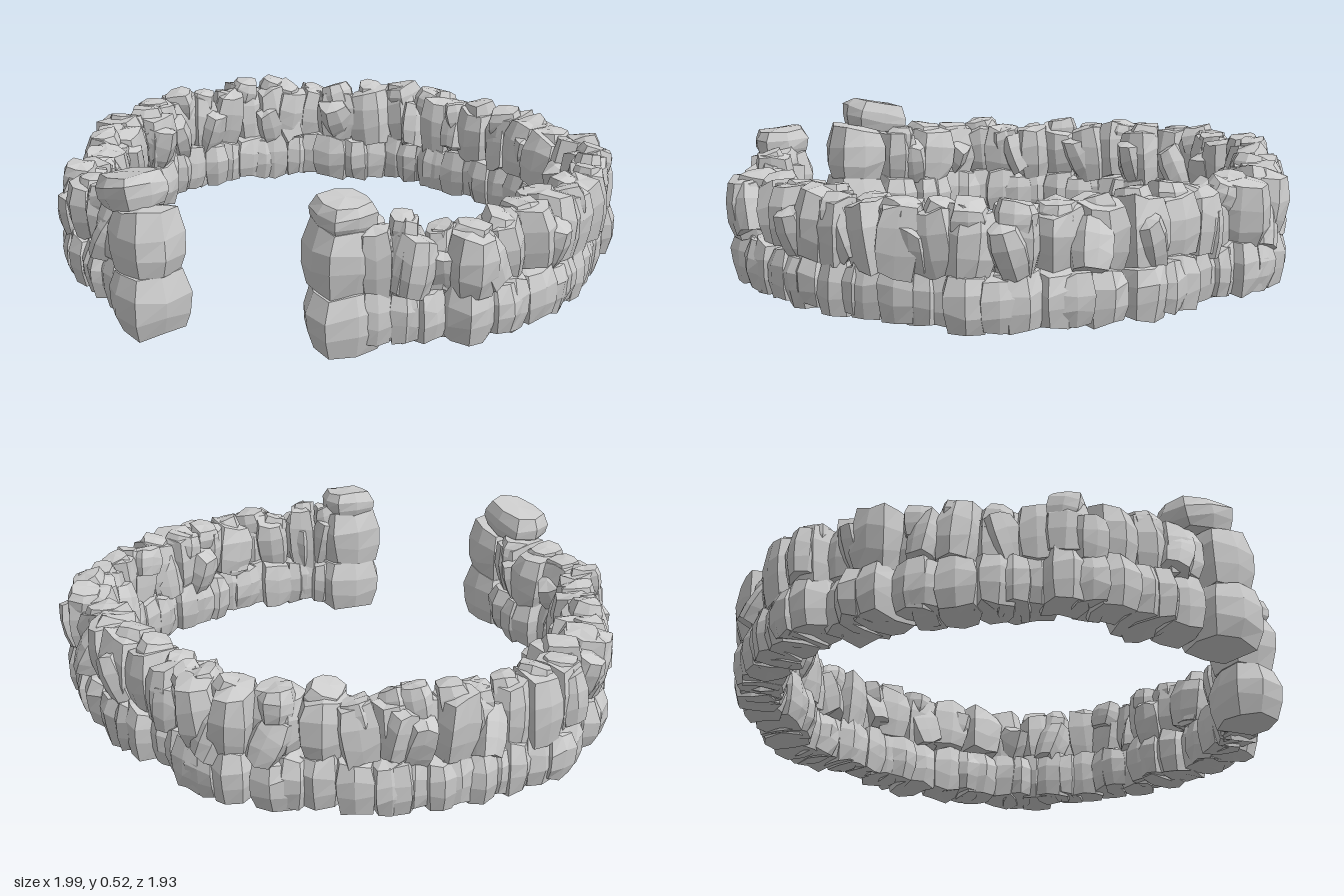
import * as THREE from 'three';

const stone = new THREE.MeshStandardMaterial({ color: 0xcccccc, flatShading: true });

// seeded jitter in the range -1..1
let seed = 7;
function jitter(amount = 1) {
  seed = (seed * 16807) % 2147483647;
  return ((seed / 2147483647) * 2 - 1) * amount;
}

// faceted block: eight-sided column with a bulging belly and uneven corners
function rock(name, w, h, d, rough = 0.1) {
  const sides = 8, levels = 3;
  const geo = new THREE.CylinderGeometry(1, 1, 1, sides, levels);
  const taper = [0.85, 1.02, 1.04, 0.84];
  const corners = [];
  const column = Array.from({ length: sides }, () => 1 + jitter(rough));
  const slope = jitter(0.08);
  for (let l = 0; l <= levels; l++) {
    for (let s = 0; s < sides; s++) {
      const tip = l === levels ? slope * Math.cos((s / sides) * Math.PI * 2) : 0;
      corners.push([column[s] * (1 + jitter(0.035)), tip + jitter(0.06)]);
    }
  }
  const p = geo.attributes.position;
  for (let i = 0; i < p.count; i++) {
    const x = p.getX(i), y = p.getY(i), z = p.getZ(i);
    const level = Math.round((y + 0.5) * levels);
    if (Math.hypot(x, z) < 0.01) {
      // raised crown, slightly hollow underside
      p.setXYZ(i, 0, y * h * (y > 0 ? 1.12 : 0.9), 0);
      continue;
    }
    const a = Math.atan2(z, x);
    const side = (Math.round((a / (Math.PI * 2)) * sides) + sides) % sides;
    const [spread, lift] = corners[level * sides + side];
    // push the diagonal corners out for a squarer plan
    const square = 1 / Math.pow(Math.max(Math.abs(Math.cos(a)), Math.abs(Math.sin(a))), 0.45);
    const r = taper[level] * spread * square / 2;
    p.setXYZ(i, Math.cos(a) * r * w, (y + lift) * h, Math.sin(a) * r * d);
  }
  const flat = geo.toNonIndexed();
  flat.computeVertexNormals();
  const mesh = new THREE.Mesh(flat, stone);
  mesh.name = name;
  return mesh;
}

function put(group, mesh, x, y, z, lean = 0, twist = 0.25) {
  mesh.position.set(x, y, z);
  mesh.rotation.set(jitter(lean), jitter(twist), jitter(lean));
  group.add(mesh);
}

// wall sections along the ring: x, z, length along wall, thickness, top height
const sections = [
  [0.67, 0.45, 0.19, 0.15, 0.44], [0.75, 0.36, 0.22, 0.16, 0.40],
  [0.86, 0.21, 0.28, 0.19, 0.41], [0.86, -0.04, 0.25, 0.22, 0.43],
  [0.85, -0.25, 0.24, 0.16, 0.41], [0.77, -0.46, 0.25, 0.16, 0.42],
  [0.66, -0.64, 0.27, 0.20, 0.42], [0.43, -0.76, 0.27, 0.21, 0.42],
  [0.17, -0.83, 0.27, 0.19, 0.42], [-0.05, -0.83, 0.21, 0.17, 0.41],
  [-0.24, -0.85, 0.25, 0.20, 0.43], [-0.46, -0.72, 0.28, 0.20, 0.42],
  [-0.65, -0.60, 0.23, 0.16, 0.41], [-0.75, -0.46, 0.22, 0.17, 0.43],
  [-0.83, -0.28, 0.22, 0.17, 0.42], [-0.87, -0.08, 0.25, 0.20, 0.42],
  [-0.80, 0.14, 0.25, 0.22, 0.42], [-0.70, 0.35, 0.25, 0.18, 0.41],
  [-0.55, 0.53, 0.25, 0.16, 0.40], [-0.42, 0.70, 0.27, 0.18, 0.41],
  [-0.18, 0.76, 0.26, 0.22, 0.41],
];

function wallSection([x, z, length, depth, top]) {
  const g = new THREE.Group();
  g.name = 'wallSection';
  g.position.set(x, 0, z);
  g.rotation.y = Math.atan2(x, z);
  // lower course: upright stones, with a thicker one binding the pair
  for (const s of [-1, 1]) {
    put(g, rock('lowerStone', length * 0.56, 0.165, depth * 0.95),
      s * length * 0.26, 0.122 + jitter(0.006), jitter(0.014), 0.04);
  }
  put(g, rock('lowerBinder', length * 0.46, 0.155, depth * 1.06),
    jitter(0.03), 0.118, jitter(0.01), 0.05);
  // upper course: loosely leaning stones
  const tall = top - 0.19;
  for (const s of [-1, 1]) {
    put(g, rock('upperStone', length * 0.55, tall * (0.88 + jitter(0.08)), depth * 0.86, 0.13),
      s * length * 0.25, 0.185 + tall * 0.46, jitter(0.025), 0.17, 0.4);
  }
  // tumbled stones wedged across the joint, dipping into the lower course
  for (const s of [-1, 1]) {
    put(g, rock('wedgeStone', length * 0.4, tall * 0.68, depth * 0.55, 0.15),
      jitter(length * 0.3), 0.27 + jitter(0.025), s * depth * 0.25, 0.45, 0.6);
  }
  // small stones on top
  for (const s of [-1, 1]) {
    put(g, rock('capStone', length * 0.42, 0.095, depth * 0.6, 0.14),
      s * length * 0.24, top - 0.06 + jitter(0.014), jitter(0.03), 0.3, 0.6);
  }
  return g;
}

// large stacked stones at each side of the opening
function endPillar(x, z, length, depth, turn, capLength, capDepth, capX, capY, capTilt) {
  const g = new THREE.Group();
  g.name = 'endPillar';
  g.position.set(x, 0, z);
  g.rotation.y = turn;
  put(g, rock('pillarBase', length, 0.185, depth, 0.06), 0, 0.11, 0, 0.03, 0.08);
  put(g, rock('pillarMiddle', length * 0.96, 0.2, depth * 0.96, 0.06), 0, 0.305, 0, 0.04, 0.08);
  const cap = rock('pillarCap', capLength, 0.1, capDepth, 0.07);
  put(g, cap, capX, capY, 0);
  cap.rotation.z = capTilt;
  return g;
}

export function createModel() {
  seed = 7;
  const model = new THREE.Group();
  model.name = 'stoneRing';
  for (const section of sections) model.add(wallSection(section));
  model.add(endPillar(0.58, 0.54, 0.21, 0.24, -0.35, 0.18, 0.18, 0, 0.435, -0.05));
  model.add(endPillar(0.04, 0.84, 0.21, 0.22, -0.22, 0.23, 0.18, -0.09, 0.445, 0.24));
  return model;
}
